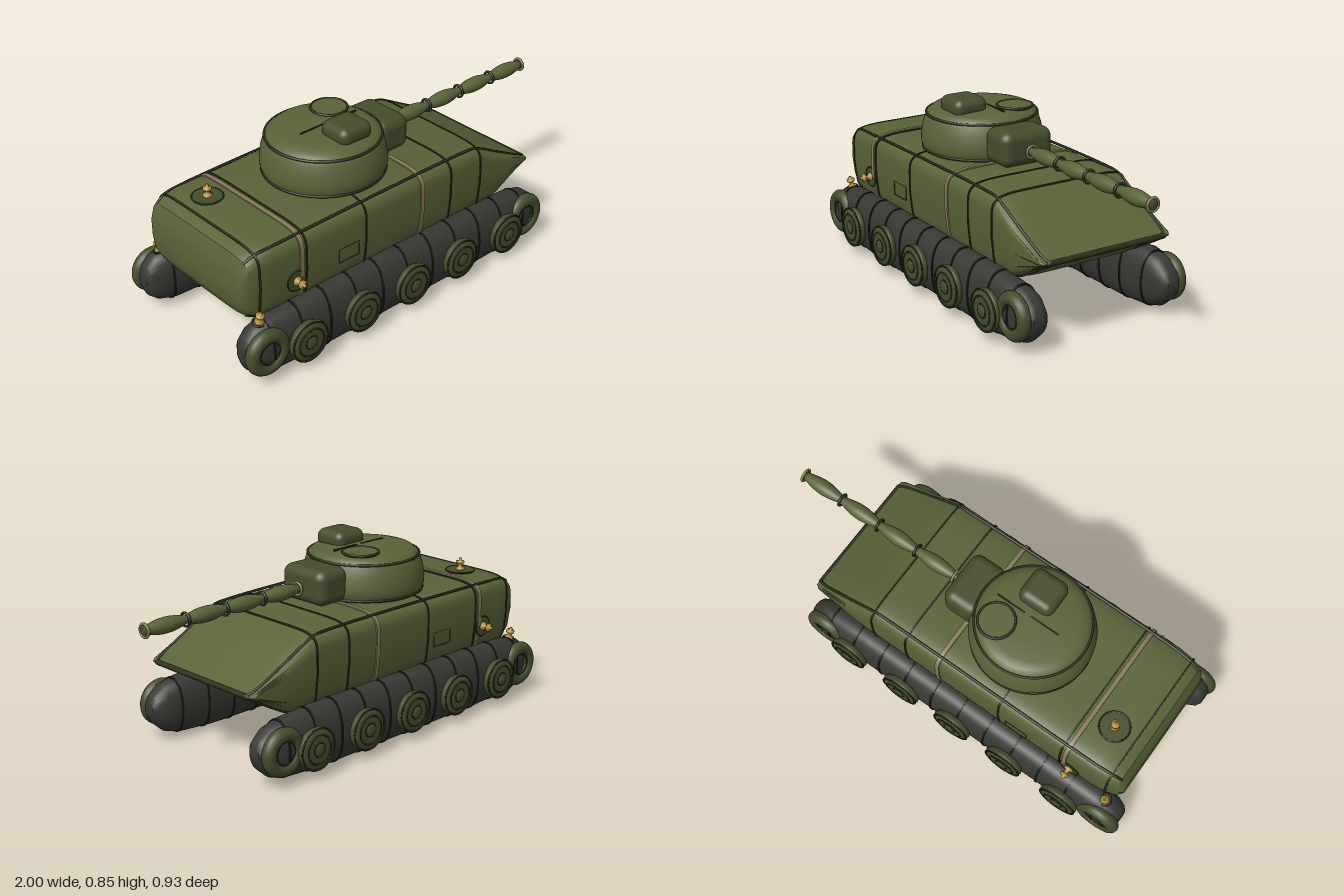
import * as THREE from 'three';
import { RoundedBoxGeometry } from 'three/addons/geometries/RoundedBoxGeometry.js';
import { toCreasedNormals } from 'three/addons/utils/BufferGeometryUtils.js';

const material = (name, color) => {
  const m = new THREE.MeshStandardMaterial({ color });
  m.name = name;
  return m;
};

// Sections are [x, bottom, top, half width]
const HULL = [
  [-0.943, 0.34, 0.46, 0.3], [-0.935, 0.31, 0.51, 0.312], [-0.915, 0.275, 0.555, 0.325],
  [-0.87, 0.25, 0.582, 0.336], [-0.8, 0.245, 0.59, 0.343], [0.355, 0.245, 0.592, 0.343],
  [0.385, 0.245, 0.582, 0.343], [0.48, 0.25, 0.53, 0.341], [0.52, 0.265, 0.507, 0.34],
  [0.7, 0.375, 0.405, 0.328], [0.718, 0.385, 0.395, 0.315],
];
const TRACK = [
  [-0.985, 0.12, 0.19, 0.03], [-0.97, 0.08, 0.23, 0.05], [-0.93, 0.045, 0.265, 0.066],
  [-0.85, 0.02, 0.285, 0.075], [-0.6, 0.008, 0.293, 0.078], [0.4, 0.008, 0.293, 0.078],
  [0.58, 0.022, 0.28, 0.075], [0.66, 0.045, 0.26, 0.068], [0.71, 0.09, 0.22, 0.05],
  [0.728, 0.13, 0.185, 0.03],
];

function sectionAt(list, x, grow = 0) {
  let i = 0;
  while (i < list.length - 2 && list[i + 1][0] < x) i++;
  const a = list[i], b = list[i + 1], k = (x - a[0]) / (b[0] - a[0]);
  const s = a.map((v, j) => v + (b[j] - v) * k);
  return [x, s[1] - grow, s[2] + grow, s[3] + grow];
}

// Point on a rounded section, slightly narrower towards its base
function sectionPoint([x, low, high, w], angle, power) {
  const c = Math.cos(angle), s = Math.sin(angle), e = 2 / power;
  const v = Math.sign(s) * Math.abs(s) ** e;
  const taper = power > 4 ? 1 - 0.05 * Math.max(0, -v) : 1;
  return [x, (low + high) / 2 + v * (high - low) / 2, Math.sign(c) * Math.abs(c) ** e * w * taper];
}

function loft(sections, power, capped = true, n = 64) {
  const pos = [], idx = [];
  const rows = [...sections];
  if (capped) {
    const tip = (s) => [s[0], (s[1] + s[2]) / 2, (s[1] + s[2]) / 2, 0];
    rows.unshift(tip(rows[0]));
    rows.push(tip(rows[rows.length - 1]));
  }
  rows.forEach((s, i) => {
    for (let j = 0; j < n; j++) {
      pos.push(...sectionPoint(s, (j / n) * Math.PI * 2, power));
      if (i === rows.length - 1) continue;
      const a = i * n + j, c = i * n + ((j + 1) % n);
      idx.push(a, a + n, c, a + n, c + n, c);
    }
  });
  const g = new THREE.BufferGeometry();
  g.setAttribute('position', new THREE.Float32BufferAttribute(pos, 3));
  g.setIndex(idx);
  g.computeVertexNormals();
  return toCreasedNormals(g, 0.55);
}

// Raised band wrapped round a lofted body at x
function band(list, x, width, height, power) {
  const l = x - width / 2, r = x + width / 2;
  return loft([sectionAt(list, l, -0.004), sectionAt(list, l, height),
    sectionAt(list, r, height), sectionAt(list, r, -0.004)], power, false);
}

const lathe = (pts, n = 40) => new THREE.LatheGeometry(pts.map((p) => new THREE.Vector2(...p)), n);

export function createModel() {
  const model = new THREE.Group();
  const olive = material('olive fabric', 0x5a6239);
  const darkOlive = material('dark olive fabric', 0x464d2d);
  const seam = material('seam', 0x2b2f1c);
  const rubber = material('track fabric', 0x383834);
  const black = material('track seam', 0x20201c);
  const tan = material('tan strap', 0x857a5a);
  const brass = material('brass', 0xb08d3c);

  const add = (name, geo, mat, x = 0, y = 0, z = 0, parent = model) => {
    const m = new THREE.Mesh(geo, mat);
    m.name = name;
    m.position.set(x, y, z);
    parent.add(m);
    return m;
  };

  // Hull with seams and straps
  add('hull', loft(HULL, 7), olive);
  for (const x of [-0.87, -0.635, -0.31, 0.19, 0.375]) add('hullSeam', band(HULL, x, 0.008, 0.004, 7), seam);
  for (const x of [-0.66, 0.015]) add('strap', band(HULL, x, 0.02, 0.006, 7), tan);
  for (const angle of [0.25, 0.75, 1.25, 1.75]) {
    const pts = HULL.slice(2).map((s) => new THREE.Vector3(...sectionPoint(s, angle * Math.PI, 7)));
    add('edgeSeam', new THREE.TubeGeometry(new THREE.CatmullRomCurve3(pts, false, 'centripetal'), 60, 0.006, 6), seam);
  }
  const tipSeam = add('noseSeam', new THREE.CapsuleGeometry(0.012, 0.58, 4, 10), seam, 0.712, 0.39, 0);
  tipSeam.rotation.x = Math.PI / 2;

  // Inflation valve pointing along its local y
  const valveGeo = lathe([[0.02, 0], [0.02, 0.01], [0.01, 0.014], [0.01, 0.03], [0.019, 0.032],
    [0.019, 0.042], [0.007, 0.044], [0.007, 0.056], [0, 0.056]], 20);
  const valve = (x, y, z, turn, plate) => {
    const g = new THREE.Group();
    g.name = 'valve';
    g.position.set(x, y, z);
    g.rotation.x = turn;
    add('valvePlate', new THREE.CylinderGeometry(plate, plate, 0.008, 32), darkOlive, 0, 0, 0, g);
    const rim = add('valveRim', new THREE.TorusGeometry(plate, 0.004, 6, 32), seam, 0, 0.002, 0, g);
    rim.rotation.x = Math.PI / 2;
    add('valveStem', valveGeo, brass, 0, 0.002, 0, g);
    model.add(g);
  };
  valve(-0.765, 0.593, -0.135, 0, 0.066);

  // Tracks, wheels and side details, mirrored
  const trackGeo = loft(TRACK, 2.3, true, 40);
  const wheelGeo = lathe([[0.07, -0.06], [0.09, -0.03], [0.096, -0.015], [0.092, -0.004], [0.08, 0.005], [0.062, 0.008], [0, 0.006]]);
  const flangeGeo = new THREE.TorusGeometry(0.091, 0.004, 6, 40);
  const ringGeo = new THREE.TorusGeometry(0.063, 0.004, 6, 40);
  const hubGeo = new THREE.SphereGeometry(0.03, 20, 12);
  const endGeo = new THREE.TorusGeometry(0.076, 0.031, 16, 40);
  for (const s of [1, -1]) {
    add('track', trackGeo, rubber, 0, 0, s * 0.343);
    for (let i = 0; i < 11; i++) {
      add('trackSeam', band(TRACK, -0.87 + i * 0.147, 0.009, 0.004, 2.3), black, 0, 0, s * 0.343);
    }
    for (const x of [-0.71, -0.41, -0.12, 0.17, 0.47]) {
      const w = new THREE.Group();
      w.name = 'roadWheel';
      w.position.set(x, 0.14, s * 0.448);
      add('tyre', wheelGeo, darkOlive, 0, 0, 0, w).rotation.x = s * Math.PI / 2;
      add('tyreSeam', flangeGeo, seam, 0, 0, 0, w);
      add('innerSeam', ringGeo, seam, 0, 0, s * 0.007, w);
      add('hub', hubGeo, darkOlive, 0, 0, s * 0.006, w).scale.z = 0.35;
      add('hubSeam', new THREE.TorusGeometry(0.03, 0.003, 6, 28), seam, 0, 0, s * 0.007, w);
      model.add(w);
    }
    for (const x of [-0.895, 0.622]) {
      add('endWheel', endGeo, darkOlive, x, 0.158, s * 0.398);
      add('endWheelSeam', new THREE.TorusGeometry(0.05, 0.004, 6, 36), seam, x, 0.158, s * 0.416);
    }
    valve(-0.69, 0.38, s * 0.342, s * Math.PI / 2, 0.046);
    valve(-0.89, 0.272, s * 0.343, s * 0.25, 0.026);
    // Stitched outline of the side patch
    for (const d of [-1, 1]) {
      add('patchStitch', new THREE.BoxGeometry(0.11, 0.003, 0.004), darkOlive, -0.405, 0.39 + d * 0.032, s * 0.343);
      add('patchStitch', new THREE.BoxGeometry(0.003, 0.064, 0.004), darkOlive, -0.405 + d * 0.055, 0.39, s * 0.343);
    }
  }

  // Turret
  const turret = new THREE.Group();
  turret.name = 'turret';
  turret.position.x = -0.245;
  model.add(turret);
  add('turretBody', lathe([[0.255, 0.585], [0.268, 0.6], [0.276, 0.625], [0.277, 0.655], [0.27, 0.7], [0.258, 0.74],
    [0.247, 0.762], [0.225, 0.78], [0.19, 0.789], [0.1, 0.794], [0, 0.795]], 64), olive, 0, 0, 0, turret);
  for (const [r, y] of [[0.251, 0.757], [0.268, 0.6]]) {
    add('turretSeam', new THREE.TorusGeometry(r, 0.006, 8, 64), seam, 0, y, 0, turret).rotation.x = Math.PI / 2;
  }
  add('cupola', new RoundedBoxGeometry(0.17, 0.085, 0.165, 5, 0.038), darkOlive, 0.03, 0.808, 0.115, turret);
  add('hatch', new THREE.CylinderGeometry(0.078, 0.078, 0.012, 40), olive, 0.12, 0.793, -0.1, turret);
  add('hatchSeam', new THREE.TorusGeometry(0.08, 0.006, 8, 40), seam, 0.12, 0.796, -0.1, turret).rotation.x = Math.PI / 2;
  for (const x of [-0.055, 0.115]) add('roofSeam', new THREE.BoxGeometry(0.14, 0.008, 0.006), seam, x, 0.794, 0, turret);

  // Mantlet and segmented barrel
  add('mantlet', new RoundedBoxGeometry(0.175, 0.16, 0.26, 6, 0.045), darkOlive, 0.058, 0.674, 0);
  const barrel = new THREE.Group();
  barrel.name = 'barrel';
  barrel.position.set(0.165, 0.665, 0);
  barrel.rotation.z = -Math.PI / 2;
  model.add(barrel);
  const step = 0.206, profile = [];
  for (let i = 0; i <= 12; i++) profile.push([0.017 + 0.017 * Math.sin((i / 12) * Math.PI), (i / 12) * step]);
  add('barrelRoot', new THREE.CylinderGeometry(0.017, 0.017, 0.04, 20), olive, 0, -0.02, 0, barrel);
  for (let i = 0; i < 5; i++) {
    if (i < 4) add('barrelSegment', lathe(profile, 24), olive, 0, i * step, 0, barrel);
    const ring = add('barrelRing', new THREE.TorusGeometry(0.028, 0.006, 8, 28), i === 0 || i === 4 ? tan : seam, 0, i * step, 0, barrel);
    ring.rotation.x = Math.PI / 2;
  }
  add('muzzle', new THREE.SphereGeometry(0.024, 20, 12), darkOlive, 0, 4 * step, 0, barrel).scale.y = 0.35;
  return model;
}
